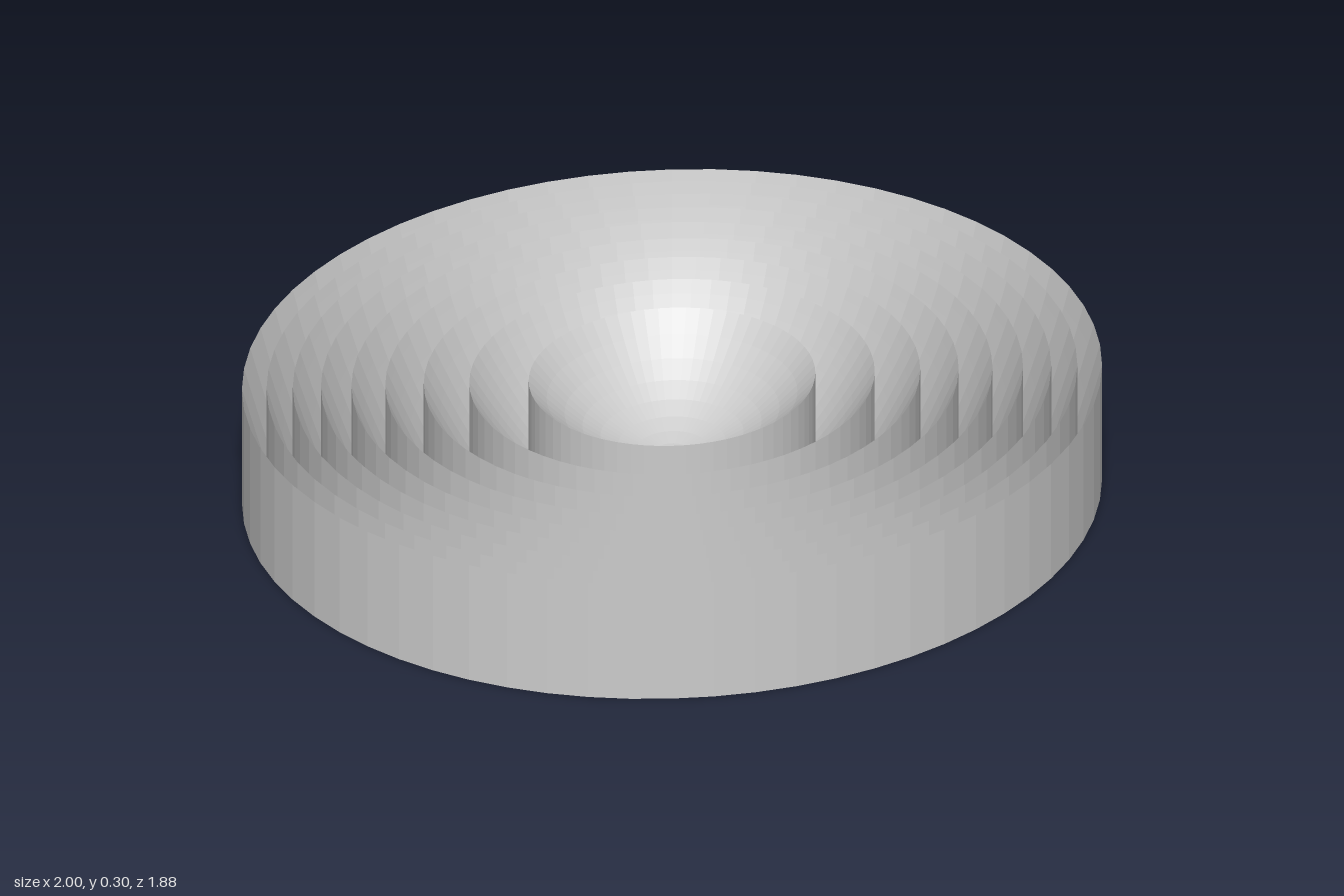
import * as THREE from 'three';

const ZONES = 9;          // equal-area rings, outer radius sqrt(n / ZONES)
const STEPS = 8;          // profile points across each ring
const SEGMENTS = 64;
const HEIGHT = 0.3;
const GROOVE = 0.2;       // depth of every ring
const DEPTH_SCALE = 0.94; // the disc is slightly narrower front to back

export function createModel() {
  const group = new THREE.Group();
  group.name = 'steppedLens';

  // Profile: flat underside, outer wall, then parabolic rings from rim to centre
  const profile = [new THREE.Vector2(0, 0), new THREE.Vector2(1, 0)];
  for (let n = ZONES; n >= 1; n--) {
    const outer = Math.sqrt(n / ZONES);
    const inner = Math.sqrt((n - 1) / ZONES);
    for (let i = 0; i <= STEPS; i++) {
      const r = outer + (inner - outer) * (i / STEPS);
      const rise = r * r * ZONES - (n - 1); // 1 at the crest, 0 in the groove
      profile.push(new THREE.Vector2(r, HEIGHT - GROOVE * (1 - rise)));
    }
  }

  const geometry = new THREE.LatheGeometry(profile, SEGMENTS);
  geometry.scale(1, 1, DEPTH_SCALE);

  const lens = new THREE.Mesh(
    geometry,
    new THREE.MeshStandardMaterial({ color: 0xcccccc, flatShading: true })
  );
  lens.name = 'ringedDisc';
  group.add(lens);
  return group;
}
